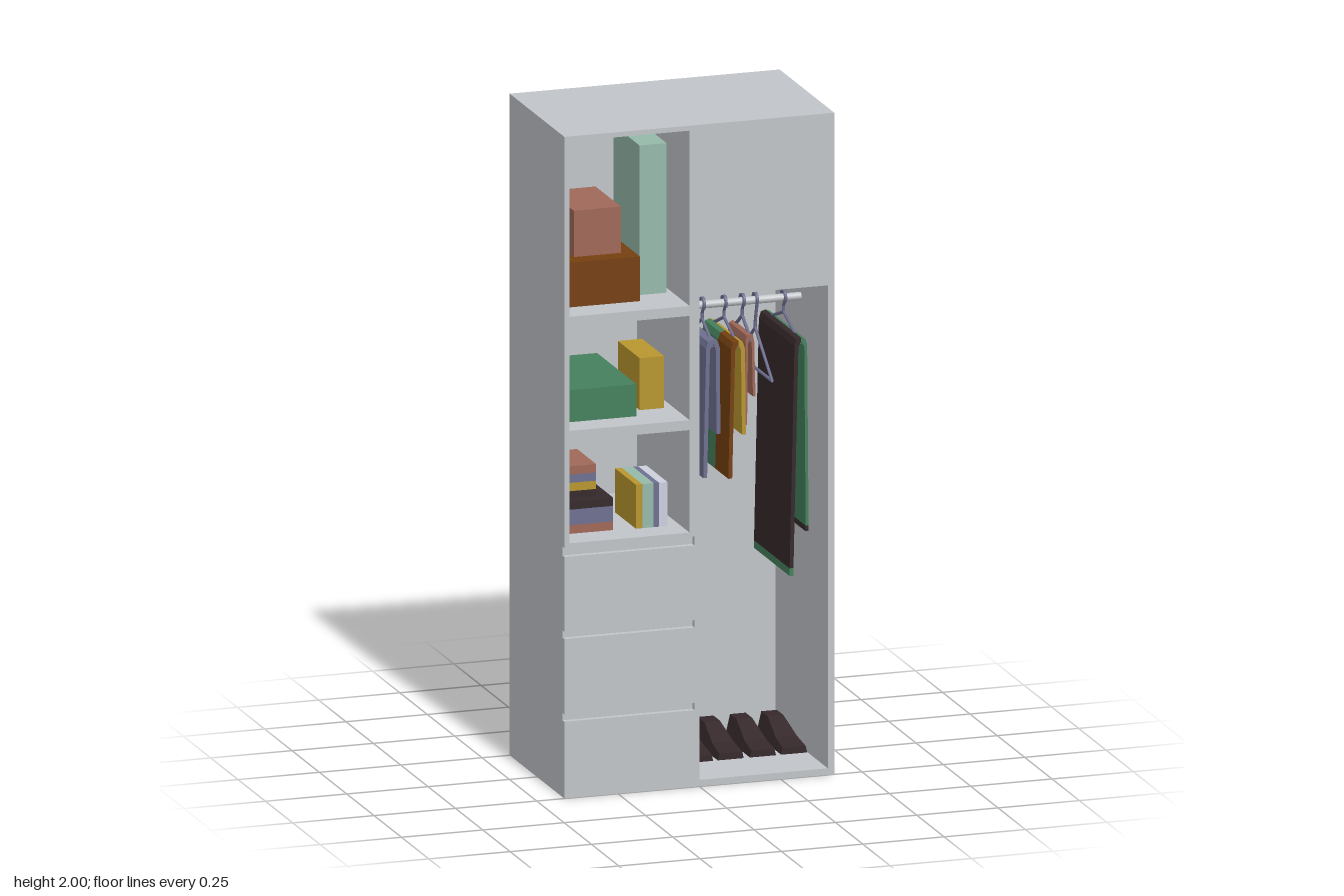
import * as THREE from 'three';

const mat = (name, color) => {
  const m = new THREE.MeshStandardMaterial({ color });
  m.name = name;
  return m;
};

export function createModel() {
  const group = new THREE.Group();
  const grey = mat('cabinet grey', 0xc1c4c8);
  const red = mat('clay red', 0xa06858);
  const brown = mat('brown', 0x754010);
  const green = mat('green', 0x45805c);
  const yellow = mat('mustard', 0xb8962f);
  const blue = mat('slate blue', 0x6e7090);
  const dark = mat('dark brown', 0x35282a);
  const mint = mat('pale green', 0x95b9a9);
  const pale = mat('pale lilac', 0xcdd0de);

  const add = (name, geometry, material, parent = group) => {
    const mesh = new THREE.Mesh(geometry, material);
    mesh.name = name;
    parent.add(mesh);
    return mesh;
  };
  // Box given by its limits on each axis
  const box = (name, material, x0, x1, y0, y1, z0, z1) => {
    const m = add(name, new THREE.BoxGeometry(x1 - x0, y1 - y0, z1 - z0), material);
    m.position.set((x0 + x1) / 2, (y0 + y1) / 2, (z0 + z1) / 2);
    return m;
  };
  const polygon = (pts) => new THREE.Shape(pts.map(([x, y]) => new THREE.Vector2(x, y)));
  const extrude = (name, shape, material, z0, z1) => {
    const g = new THREE.ExtrudeGeometry(shape, { depth: z1 - z0, bevelEnabled: false });
    g.translate(0, 0, z0);
    return add(name, g, material);
  };

  // Cabinet: an outline with four open compartments, closed by a back panel
  const W = 0.415;
  const compartments = [
    [-0.40, -0.03, 1.455, 1.985],
    [-0.40, -0.03, 1.11, 1.425],
    [-0.40, -0.03, 0.77, 1.08],
    [0.0, 0.395, 0.02, 1.48],
  ];
  const cabinetShape = (grooves) => {
    const pts = [[-W, 0], [W, 0], [W, 2], [-W, 2]];
    for (const [top, bottom] of grooves) {
      pts.push([-W, top], [-0.015, top], [-0.015, bottom], [-W, bottom]);
    }
    const shape = polygon(pts);
    for (const [x0, x1, y0, y1] of compartments) {
      shape.holes.push(polygon([[x0, y0], [x0, y1], [x1, y1], [x1, y0]]));
    }
    return shape;
  };
  extrude('cabinetBody', cabinetShape([]), grey, -0.23, 0.232);
  extrude('cabinetFront', cabinetShape([[0.757, 0.73], [0.504, 0.482], [0.254, 0.232]]), grey, 0.232, 0.25);
  box('backPanel', grey, -W, W, 0, 2, -0.25, -0.23);

  // Storage boxes on the upper shelves
  box('largeBox', brown, -0.37, -0.15, 1.455, 1.59, -0.18, 0.153);
  box('smallBox', red, -0.335, -0.19, 1.59, 1.73, -0.134, 0.098);
  box('tallBox', mint, -0.13, -0.047, 1.455, 1.907, -0.15, 0.09);
  box('flatBox', green, -0.385, -0.163, 1.11, 1.207, -0.2, 0.16);
  box('shelfBox', yellow, -0.133, -0.058, 1.11, 1.267, -0.1, 0.1);

  // Stacked books: [material, right side, bottom, top, back, front]
  [
    [red, -0.232, 0.77, 0.796, -0.1, 0.152],
    [blue, -0.232, 0.796, 0.843, -0.1, 0.152],
    [dark, -0.232, 0.843, 0.868, -0.1, 0.152],
    [dark, -0.275, 0.868, 0.891, -0.05, 0.125],
    [yellow, -0.275, 0.891, 0.916, -0.05, 0.125],
    [blue, -0.275, 0.916, 0.941, -0.05, 0.125],
    [red, -0.275, 0.941, 0.966, -0.05, 0.125],
  ].forEach(([m, x1, y0, y1, z0, z1]) => box('stackedBook', m, -0.392, x1, y0, y1, z0, z1));

  // Standing books
  [[yellow, -0.165, -0.145], [mint, -0.145, -0.11], [blue, -0.11, -0.094], [pale, -0.094, -0.068]]
    .forEach(([m, x0, x1]) => box('standingBook', m, x0, x1, 0.77, 0.903, -0.03, 0.16));

  // Clothes rail
  const rail = add('clothesRail', new THREE.CylinderGeometry(0.012, 0.012, 0.395, 12), grey);
  rail.rotation.z = Math.PI / 2;
  rail.position.set(0.1975, 1.383, 0);

  // Hangers: hook over the rail, stem and triangular frame
  const hanger = (x, apex, bar, half) => {
    const h = new THREE.Group();
    h.name = 'hanger';
    h.position.x = x;
    group.add(h);
    const hook = add('hook', new THREE.TorusGeometry(0.019, 0.005, 6, 12, Math.PI * 1.2), blue, h);
    hook.rotation.y = Math.PI / 2;
    hook.position.y = 1.386;
    const corners = [
      [1.386, 0.019], [apex + 0.02, 0], [apex, 0], [bar, half], [bar, -half], [apex, 0],
    ].map(([y, z]) => new THREE.Vector3(0, y, z));
    for (let i = 0; i + 1 < corners.length; i++) {
      const path = new THREE.LineCurve3(corners[i], corners[i + 1]);
      add('hangerWire', new THREE.TubeGeometry(path, 1, 0.005, 6), blue, h);
    }
  };
  hanger(0.093, 1.34, 1.285, 0.1);
  hanger(0.16, 1.34, 1.285, 0.13);
  hanger(0.216, 1.34, 1.285, 0.08);
  hanger(0.256, 1.3, 1.178, 0.155);
  hanger(0.343, 1.34, 1.285, 0.15);

  // One hanging side of a garment folded over a hanger
  const flap = (name, m, x, shoulder, endX, endY, z0, z1, t = 0.012) => {
    const s = Math.sign(shoulder);
    extrude(name, polygon([
      [x, 1.305], [x + shoulder * 0.7, 1.3], [x + shoulder, 1.28],
      [endX + s * t / 2, endY], [endX - s * t / 2, endY],
      [x + shoulder - s * t, 1.275], [x, 1.293],
    ].slice(0)), m, z0, z1).material.side = THREE.DoubleSide;
  };
  flap('blueGarmentLeg', blue, 0.09, -0.022, 0.065, 0.89, -0.11, 0.11);
  flap('blueGarmentLeg', blue, 0.09, 0.02, 0.106, 1.02, -0.11, 0.11);
  flap('twoToneGarmentFront', brown, 0.157, -0.022, 0.132, 0.89, 0.02, 0.14);
  flap('twoToneGarmentBack', green, 0.157, -0.022, 0.132, 0.89, -0.12, 0.02);
  flap('twoToneGarmentSide', yellow, 0.157, 0.02, 0.174, 1.02, -0.12, 0.14);
  flap('redGarmentLeg', red, 0.213, -0.014, 0.2, 1.03, -0.08, 0.08, 0.008);
  flap('redGarmentLeg', red, 0.213, 0.013, 0.226, 1.115, -0.08, 0.08, 0.008);
  flap('longGarmentLeg', dark, 0.341, -0.02, 0.312, 0.61, -0.16, 0.165);
  flap('longGarmentLeg', green, 0.341, 0.019, 0.36, 0.735, -0.16, 0.165, 0.009);
  box('longGarmentHem', green, 0.306, 0.318, 0.587, 0.61, -0.16, 0.165);
  box('longGarmentHem', dark, 0.355, 0.364, 0.718, 0.735, -0.16, 0.165);

  // Shoes: side outline extruded across, then narrowed towards the top
  const shoeOutline = polygon([
    [-0.13, 0.03], [0.1, 0.03], [0.1, 0.05], [0.03, 0.062], [-0.07, 0.1], [-0.13, 0.1],
  ]);
  const shoe = new THREE.ExtrudeGeometry(shoeOutline, { depth: 0.08, bevelEnabled: false }).toNonIndexed === undefined
    ? null : new THREE.ExtrudeGeometry(shoeOutline, { depth: 0.08, bevelEnabled: false });
  shoe.translate(0, 0, -0.04).rotateY(-Math.PI / 2);
  const p = shoe.attributes.position;
  for (let i = 0; i < p.count; i++) {
    p.setX(i, p.getX(i) * (1 - 0.4 * (p.getY(i) - 0.03) / 0.07));
  }
  shoe.computeVertexNormals();
  [0.053, 0.147, 0.246, 0.342].forEach((x) => { add('shoe', shoe, dark).position.x = x; });

  return group;
}
